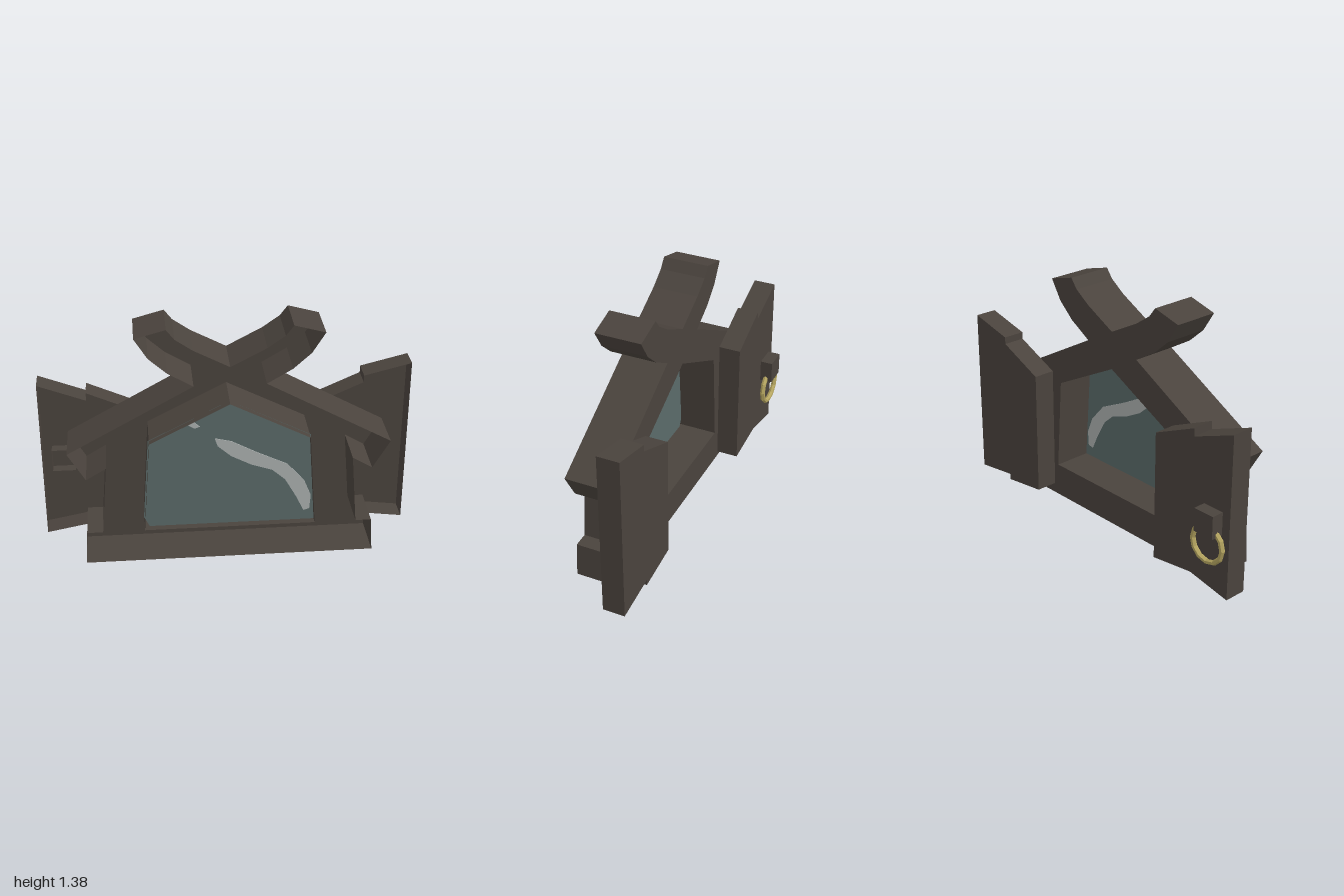
import * as THREE from 'three';

const wood = new THREE.MeshStandardMaterial({ name: 'darkWood', color: 0x4a433d, side: THREE.DoubleSide });
const glass = new THREE.MeshStandardMaterial({ name: 'glass', color: 0x5a6a69, side: THREE.DoubleSide });
const glare = new THREE.MeshStandardMaterial({ name: 'glare', color: 0xabb0af, side: THREE.DoubleSide });
const brass = new THREE.MeshStandardMaterial({ name: 'brass', color: 0xb5a560, flatShading: true });

const toVectors = (pts) => pts.map(([x, y]) => new THREE.Vector2(x, y));
const mirror = (pts) => pts.map(([x, y]) => [-x, y]).reverse();

// Extrusion from z0 to z1; the +z cap (wall side) is left open on request
function extrude(name, material, pts, z0, z1, { hole, open = true } = {}) {
  const shape = new THREE.Shape(toVectors(pts));
  if (hole) shape.holes.push(new THREE.Path(toVectors(hole)));
  const geo = new THREE.ExtrudeGeometry(shape, { depth: z1 - z0, bevelEnabled: false });
  if (open) {
    const caps = geo.groups[0].count;
    for (const key of ['position', 'normal', 'uv']) {
      const { array, itemSize } = geo.attributes[key];
      const kept = [...array.slice(0, caps / 2 * itemSize), ...array.slice(caps * itemSize)];
      geo.setAttribute(key, new THREE.Float32BufferAttribute(kept, itemSize));
    }
  }
  geo.clearGroups();
  geo.translate(0, 0, z0);
  const mesh = new THREE.Mesh(geo, material);
  mesh.name = name;
  return mesh;
}

export function createModel() {
  const root = new THREE.Group();
  root.name = 'shutteredWindow';
  const body = new THREE.Group();
  body.name = 'window';
  body.rotation.y = -Math.PI / 12;
  body.position.set(-0.026, 0, -0.007);
  root.add(body);

  // Frame: sill, posts, and crossed roof beams with curled tips
  const half = [
    [0.795, 0.005], [0.782, 0.2], [0.695, 0.2], [0.662, 0.6], [0.77, 0.535], [0.863, 0.695],
    [0.19, 1.067], [0.325, 1.147], [0.42, 1.233], [0.49, 1.345], [0.325, 1.39],
    [0.283, 1.335], [0.19, 1.27],
  ];
  const opening = [[-0.467, 0.2], [0.467, 0.2], [0.43, 0.735], [0, 0.955], [-0.43, 0.735]];
  body.add(extrude('frame', wood, [...half, [0, 1.17], ...mirror(half)], -0.01, 0.25, { hole: opening }));

  // Glass pane with painted reflections
  const pane = [[-0.44, 0.2], [0.47, 0.2], [0.435, 0.735], [0, 0.955], [-0.435, 0.735], [-0.47, 0.26]];
  const paneMesh = new THREE.Mesh(new THREE.ShapeGeometry(new THREE.Shape(toVectors(pane))), glass);
  paneMesh.name = 'glassPane';
  paneMesh.position.z = 0.21;
  body.add(paneMesh);
  const streak = [
    [-0.08, 0.735], [0.008, 0.714], [0.147, 0.639], [0.313, 0.559], [0.407, 0.452], [0.446, 0.356],
    [0.44, 0.27], [0.407, 0.26], [0.368, 0.345], [0.302, 0.463], [0.23, 0.527], [0.119, 0.564],
    [0.008, 0.623], [-0.064, 0.687],
  ];
  const spot = [[-0.232, 0.828], [-0.2, 0.848], [-0.158, 0.81], [-0.186, 0.8]];
  body.add(extrude('longReflection', glare, streak, 0.206, 0.214, { open: false }));
  body.add(extrude('smallReflection', glare, spot, 0.206, 0.214, { open: false }));

  // Shutters, each with two uneven planks
  const leftShutter = [
    [0.485, 0.075], [0.755, 0.04], [0.755, 0.075], [1.015, 0.04],
    [1.015, 1.02], [0.755, 0.955], [0.755, 0.915], [0.485, 0.795],
  ];
  const rightShutter = [
    [-1.015, 0.04], [-0.755, 0.09], [-0.485, 0.055],
    [-0.485, 0.795], [-0.755, 0.915], [-0.755, 0.87], [-1.015, 0.97],
  ];
  body.add(extrude('leftShutter', wood, leftShutter, -0.148, -0.022));
  body.add(extrude('rightShutter', wood, rightShutter, -0.148, -0.022));

  // Handle block and ring
  const block = [[-0.965, 0.4], [-0.838, 0.4], [-0.838, 0.53], [-0.965, 0.53]];
  body.add(extrude('handleBlock', wood, block, -0.22, -0.09));
  const ring = new THREE.Mesh(new THREE.TorusGeometry(0.102, 0.015, 6, 12), brass);
  ring.name = 'handleRing';
  ring.position.set(-0.9, 0.335, -0.182);
  body.add(ring);

  return root;
}
